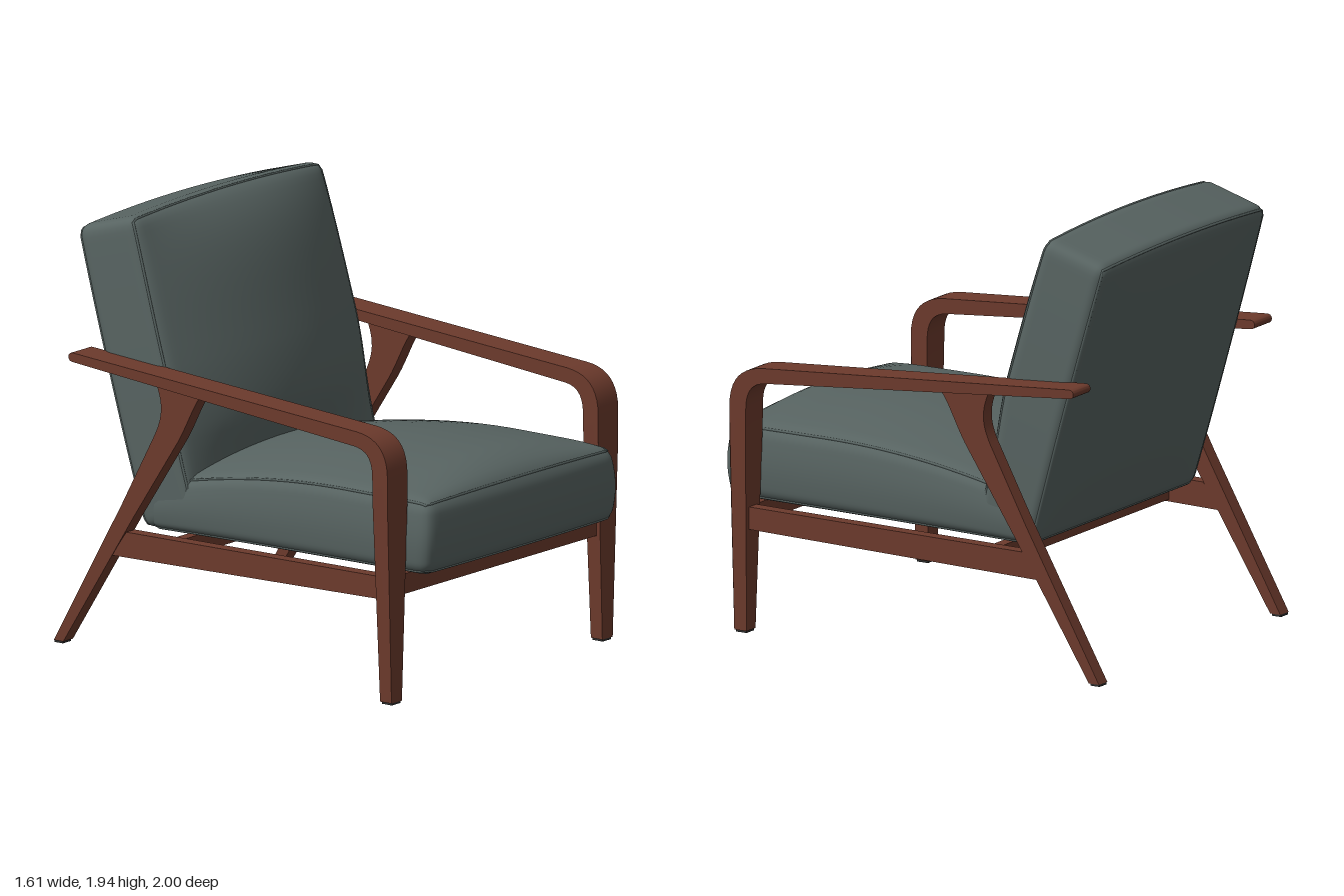
import * as THREE from 'three';
import { mergeVertices, toCreasedNormals } from 'three/addons/utils/BufferGeometryUtils.js';

const wood = new THREE.MeshStandardMaterial({ name: 'reddish wood', color: 0x6c3a2c });
const fabric = new THREE.MeshStandardMaterial({ name: 'grey green upholstery', color: 0x576361 });
const rubber = new THREE.MeshStandardMaterial({ name: 'dark foot glide', color: 0x2a2b2b });

const SIDE_X = 0.737; // centre line of each side frame
const { clamp, lerp, smoothstep } = THREE.MathUtils;

function add(parent, name, geometry, material, x = 0, y = 0, z = 0) {
  const mesh = new THREE.Mesh(geometry, material);
  mesh.name = name;
  mesh.position.set(x, y, z);
  parent.add(mesh);
  return mesh;
}

// Extrudes a side profile (drawn with -z to the right) across x; halfWidth depends on height
function sideExtrude(shape, halfWidth) {
  const geo = new THREE.ExtrudeGeometry(shape, { depth: 2, bevelEnabled: false, curveSegments: 10 });
  geo.translate(0, 0, -1);
  geo.rotateY(Math.PI / 2);
  const p = geo.attributes.position;
  for (let i = 0; i < p.count; i++) p.setX(i, p.getX(i) * halfWidth(p.getY(i)));
  return toCreasedNormals(geo, 0.6);
}

// Puffy cushion: a rounded box bent by a rule, with piping along both face outlines
function cushion(name, size, r, axis, warp) {
  const group = new THREE.Group();
  group.name = name;
  const half = size.clone().multiplyScalar(0.5);
  const inner = half.clone().subScalar(r);
  const ease = u => Math.sign(u) * (1 - Math.pow(1 - Math.min(1, Math.abs(u)), 1.8));
  const place = v => { // v runs over the surface of the -1..1 cube
    v.set(ease(v.x) * half.x, ease(v.y) * half.y, ease(v.z) * half.z);
    const core = v.clone().clamp(inner.clone().negate(), inner);
    v.sub(core).setLength(r).add(core);
    return warp(v);
  };
  let geo = new THREE.BoxGeometry(2, 2, 2, 32, 32, 32);
  geo.deleteAttribute('uv');
  geo.deleteAttribute('normal');
  const p = geo.attributes.position;
  const v = new THREE.Vector3();
  for (let i = 0; i < p.count; i++) {
    place(v.fromBufferAttribute(p, i));
    p.setXYZ(i, v.x, v.y, v.z);
  }
  geo = mergeVertices(geo, 1e-5);
  geo.computeVertexNormals();
  add(group, name + 'Body', geo, fabric);

  const corners = [[-1, -1], [1, -1], [1, 1], [-1, 1]];
  for (const face of [-1, 1]) {
    const path = [];
    corners.forEach(([a0, b0], k) => {
      const [a1, b1] = corners[(k + 1) % 4];
      for (let i = 0; i < 20; i++) {
        const a = lerp(a0, a1, i / 20), b = lerp(b0, b1, i / 20);
        path.push(place(axis === 'y' ? new THREE.Vector3(a, face, b) : new THREE.Vector3(a, b, face)));
      }
    });
    const curve = new THREE.CatmullRomCurve3(path, true);
    add(group, name + 'Piping', new THREE.TubeGeometry(curve, 200, 0.006, 6, true), fabric);
  }
  return group;
}

function seatCushion() {
  const size = new THREE.Vector3(1.32, 0.32, 1.53);
  return cushion('seatCushion', size, 0.055, 'y', v => {
    const s = v.y / size.y + 0.5;
    const acrossX = 1 - Math.min(1, (v.x / 0.66) ** 2);
    const z = v.z + 0.205;
    const drop = 0.085 * Math.max(0, (0.5 - z) / 0.8) ** 2;
    const crown = 0.08 * acrossX * (1 - clamp((z - 0.72) / 0.25, 0, 1) ** 2.5);
    const top = 0.899 - drop + crown;
    const bottom = lerp(0.55, 0.565, clamp((z + 0.5) / 1.47, 0, 1));
    const swell = Math.sin(Math.PI * clamp(s, 0, 1));
    const front = smoothstep(z, 0.6, 0.97);
    v.set(v.x * (1 - 0.015 * s + 0.03 * swell), lerp(bottom, top, s),
      z + front * (0.02 * swell + 0.014 * acrossX));
    return v;
  });
}

function backCushion() {
  const size = new THREE.Vector3(1.335, 1.345, 0.33);
  const back = cushion('backCushion', size, 0.05, 'z', v => {
    const u = clamp(v.x / 0.6675, -1, 1), t = clamp(v.y / 0.6725, -1, 1);
    const f = clamp(v.z / size.z + 0.5, 0, 1);
    const round = 1 - u * u, belly = round * (1 - Math.abs(t) ** 5);
    // the front swells in the middle and tucks in towards the seat
    const swell = 0.12 * belly * (1 - smoothstep(-t, 0.35, 0.9)) - 0.028 * smoothstep(-t, 0, 0.6);
    v.z += f * swell - (1 - f) * 0.015 * belly;
    v.y += 0.025 * round * smoothstep(t, 0.5, 1);
    v.x *= 1 + 0.02 * (1 - t * t);
    return v;
  });
  back.position.set(0, 1.236, -0.615);
  back.rotation.x = -0.283;
  return back;
}

// Front leg and armrest in one bent piece
function armGeometry() {
  const s = new THREE.Shape();
  s.moveTo(-0.868, 0.01);
  s.lineTo(-0.805, 0.01);
  s.lineTo(-0.79, 0.9);
  s.lineTo(-0.788, 1.02);
  s.bezierCurveTo(-0.785, 1.1, -0.75, 1.13, -0.69, 1.137);
  s.lineTo(-0.67, 1.139);
  s.lineTo(0.85, 1.275);
  s.lineTo(0.87, 1.277);
  s.bezierCurveTo(0.895, 1.28, 0.895, 1.318, 0.865, 1.317);
  s.lineTo(0.845, 1.3155);
  s.lineTo(-0.68, 1.2055);
  s.lineTo(-0.7, 1.204);
  s.bezierCurveTo(-0.81, 1.195, -0.87, 1.14, -0.872, 1.02);
  s.lineTo(-0.872, 0.9);
  s.closePath();
  return sideExtrude(s, y => 0.036 + 0.034 * Math.min(1, y / 0.9));
}

// Slanted rear leg flaring into the underside of the arm
function rearLegGeometry() {
  const s = new THREE.Shape();
  s.moveTo(0.945, 0.01);
  s.lineTo(0.997, 0.01);
  s.lineTo(0.62, 0.675);
  s.lineTo(0.44, 1.01);
  s.bezierCurveTo(0.4, 1.09, 0.39, 1.15, 0.435, 1.245);
  s.lineTo(0.18, 1.222);
  s.bezierCurveTo(0.22, 1.19, 0.25, 1.1, 0.31, 1.0);
  s.lineTo(0.56, 0.62);
  s.closePath();
  return sideExtrude(s, () => 0.034);
}

function sideRailGeometry() {
  const s = new THREE.Shape();
  s.moveTo(-0.82, 0.465);
  s.lineTo(0.68, 0.435);
  s.lineTo(0.6, 0.55);
  s.lineTo(-0.82, 0.565);
  s.closePath();
  return sideExtrude(s, () => 0.03);
}

export function createModel() {
  const chair = new THREE.Group();
  chair.name = 'loungeChair';

  // Wooden side frames
  const arm = armGeometry(), rearLeg = rearLegGeometry(), rail = sideRailGeometry();
  for (const side of [1, -1]) {
    const frame = new THREE.Group();
    frame.name = side > 0 ? 'leftFrame' : 'rightFrame';
    frame.position.x = side * SIDE_X;
    add(frame, 'armAndFrontLeg', arm, wood);
    add(frame, 'rearLeg', rearLeg, wood);
    add(frame, 'sideRail', rail, wood);
    add(frame, 'frontGlide', new THREE.BoxGeometry(0.06, 0.01, 0.055), rubber, 0, 0.005, 0.837);
    add(frame, 'rearGlide', new THREE.BoxGeometry(0.058, 0.01, 0.046), rubber, 0, 0.005, -0.974);
    chair.add(frame);
  }

  // Cross rails under the seat
  add(chair, 'frontRail', new THREE.BoxGeometry(1.42, 0.09, 0.05), wood, 0, 0.52, 0.825);
  add(chair, 'rearRail', new THREE.BoxGeometry(1.44, 0.08, 0.05), wood, 0, 0.49, -0.4);

  // Upholstery
  chair.add(seatCushion(), backCushion());
  return chair;
}
